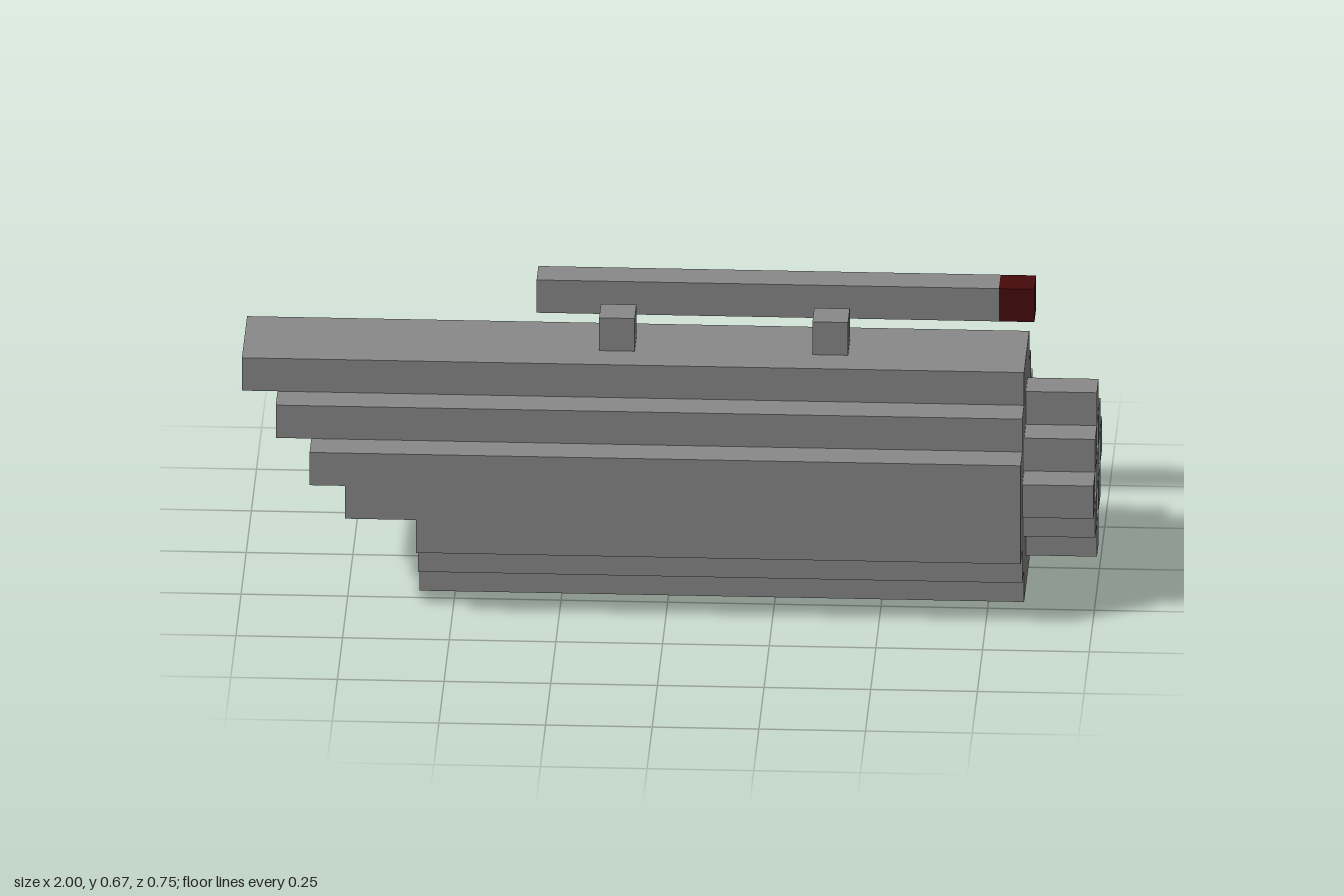
import * as THREE from 'three';

const U = 1 / 12; // block size
const CZ = 1;     // hull centre line along z, in blocks

export function createModel() {
  const model = new THREE.Group();
  const grey = new THREE.MeshStandardMaterial({ color: 0x8a8a8a });
  grey.name = 'hullGrey';
  const red = new THREE.MeshStandardMaterial({ color: 0x480a0c });
  red.name = 'darkRed';

  // Box between two corners given in blocks
  function block(name, x0, x1, y0, y1, z0, z1, material = grey, parent = model) {
    const geometry = new THREE.BoxGeometry((x1 - x0) * U, (y1 - y0) * U, (z1 - z0) * U);
    const mesh = new THREE.Mesh(geometry, material);
    mesh.position.set((x0 + x1) / 2 * U, (y0 + y1) / 2 * U, (z0 + z1) / 2 * U);
    mesh.name = name;
    parent.add(mesh);
  }

  // Hull layers: name, bow x, bottom y, half width
  const layers = [
    ['keel', -7, 0, 1.5],
    ['lowerHull', -7, 1, 2.5],
    ['upperHull', -11, 5, 2.5],
    ['deck', -12, 6, 1.5],
  ];
  for (const [name, bow, y, half] of layers) block(name, bow, 10, y, y + 1, CZ - half, CZ + half);

  // Widest part of the hull with its stepped bow
  const side = [[-7, 2], [10, 2], [10, 5], [-10, 5], [-10, 4], [-9, 4], [-9, 3], [-7, 3]];
  const shape = new THREE.Shape(side.map(([x, y]) => new THREE.Vector2(x * U, y * U)));
  const middle = new THREE.Mesh(
    new THREE.ExtrudeGeometry(shape, { depth: 7 * U, bevelEnabled: false }), grey);
  middle.position.z = (CZ - 3.5) * U;
  middle.name = 'middleHull';
  model.add(middle);

  // Stern thrusters: alternate cells of a diamond
  const thrusters = new THREE.Group();
  thrusters.name = 'thrusters';
  model.add(thrusters);
  for (let i = -2; i <= 2; i++) {
    for (let j = -2; j <= 2; j++) {
      const d = Math.abs(i) + Math.abs(j);
      if (d > 2 || d % 2) continue;
      block('thruster', 10, 12, 3 + j, 4 + j, CZ + i - 0.5, CZ + i + 0.5, grey, thrusters);
    }
  }

  // Deck posts
  for (const x of [-2, 4]) block('deckPost', x, x + 1, 7, 8, CZ - 0.5, CZ + 0.5);

  // Separate rod floating behind the hull, with a red end
  block('rod', -4, 9, 6, 7, -4.5, -3.5);
  block('rodTip', 9, 10, 6, 7, -4.5, -3.5, red);

  return model;
}
